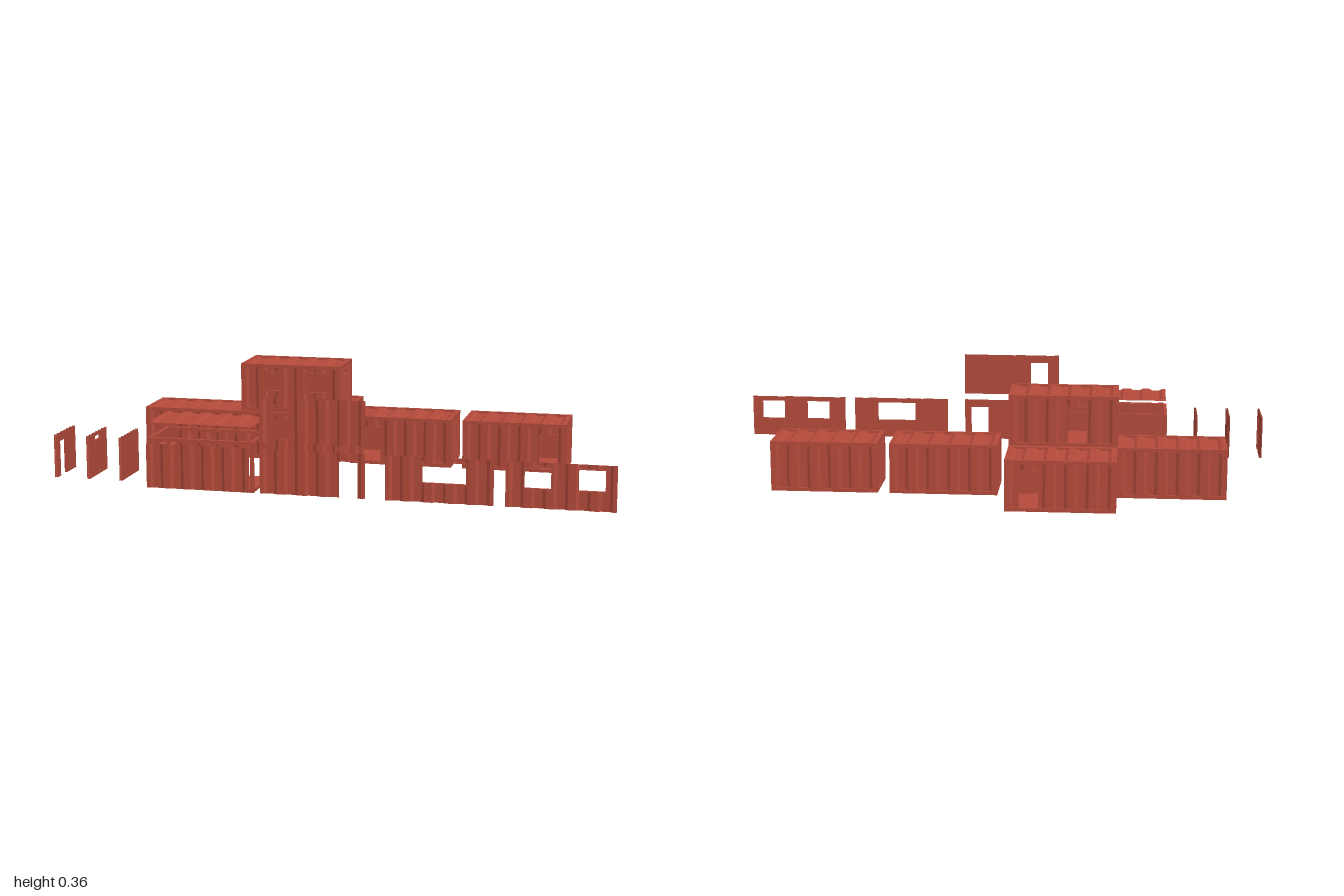
import * as THREE from 'three';

const L = 0.382, W = 0.203, H = 0.18, BEAM = 0.012;
const PL = 0.37, PE = 0.181, PH = 0.156; // long panel, end panel, panel height

// openings as [u0, u1, v0, v1] measured from a panel's lower left corner
const DOOR_LEFT = [0.04, 0.113, 0, 0.13];
const DOOR_RIGHT = [0.275, 0.348, 0, 0.13];
const DOOR_MID = [0.1, 0.17, 0, 0.13];
const DOOR_END = [0.086, 0.148, 0, 0.13];
const SLIT = [0.056, 0.119, 0.125, 0.147];
const WIDE = [0.125, 0.28, 0.065, 0.142];
const PAIR = [[0.06, 0.155, 0.065, 0.142], [0.24, 0.335, 0.065, 0.142]];

export function createModel() {
  const steel = new THREE.MeshStandardMaterial({ color: 0xb54b3b, side: THREE.DoubleSide });
  steel.name = 'redSteel';
  steel.flatShading = true;
  const model = new THREE.Group();

  function box(parent, name, w, h, d, x, y, z) {
    const m = new THREE.Mesh(new THREE.BoxGeometry(w, h, d), steel);
    m.name = name;
    m.position.set(x, y, z);
    parent.add(m);
  }

  // ribbed sheet with a flat lining; ribs run along v, outside faces local +z
  function sheetGeometry(w, h, ribs, holes) {
    const p = w / ribs, slant = p * 0.14, hi = 0.004, lo = -0.002, back = -0.004;
    const profile = [[0, hi]];
    for (let i = 0; i < ribs; i++) {
      const a = (i + 0.25) * p, b = (i + 0.75) * p;
      profile.push([a - slant / 2, hi], [a + slant / 2, lo], [b - slant / 2, lo], [b + slant / 2, hi]);
    }
    profile.push([w, hi]);
    const depth = (u) => {
      const i = Math.max(1, profile.findIndex((q) => q[0] >= u - 1e-7));
      const [a, da] = profile[i - 1], [b, db] = profile[i];
      return da + (db - da) * Math.min(1, (u - a) / (b - a));
    };
    const sorted = (list) => [...new Set(list)].sort((a, b) => a - b);
    const us = sorted([...profile.map((q) => q[0]), ...holes.flatMap((q) => [q[0], q[1]])]);
    const vs = sorted([0, h, ...holes.flatMap((q) => [q[2], q[3]])]);
    const pos = [];
    const quad = (a, b, c, d) => pos.push(...a, ...b, ...c, ...a, ...c, ...d);
    for (let i = 0; i + 1 < us.length; i++) {
      for (let j = 0; j + 1 < vs.length; j++) {
        const [u0, u1] = [us[i], us[i + 1]], [v0, v1] = [vs[j], vs[j + 1]];
        const um = (u0 + u1) / 2, vm = (v0 + v1) / 2;
        if (holes.some((q) => um > q[0] && um < q[1] && vm > q[2] && vm < q[3])) continue;
        const [x0, x1, y0, y1] = [u0 - w / 2, u1 - w / 2, v0 - h / 2, v1 - h / 2];
        const d0 = depth(u0), d1 = depth(u1);
        quad([x0, y0, d0], [x1, y0, d1], [x1, y1, d1], [x0, y1, d0]);
        quad([x1, y0, back], [x0, y0, back], [x0, y1, back], [x1, y1, back]);
      }
    }
    const g = new THREE.BufferGeometry();
    g.setAttribute('position', new THREE.Float32BufferAttribute(pos, 3));
    g.computeVertexNormals();
    return g;
  }

  function panel(parent, name, w, h, ribs, holes, x, y, z, turn = 0) {
    const g = new THREE.Group();
    g.name = name;
    const sheet = new THREE.Mesh(sheetGeometry(w, h, ribs, holes), steel);
    sheet.name = 'ribbedSheet';
    g.add(sheet);
    // lining of each opening
    const t = 0.003, d = 0.009;
    for (const [u0, u1, v0, v1] of holes) {
      const cx = (u0 + u1 - w) / 2, cy = (v0 + v1 - h) / 2;
      for (const s of [-1, 1]) {
        box(g, 'jamb', t, v1 - v0, d, cx + s * (u1 - u0 - t) / 2, cy, 0);
        if (s > 0 || v0 > 0) box(g, 'lintel', u1 - u0, t, d, cx, cy + s * (v1 - v0 - t) / 2, 0);
      }
    }
    g.position.set(x, y, z);
    g.rotation.y = turn;
    parent.add(g);
    return g;
  }

  function roof(parent, y) {
    panel(parent, 'roof', PL, PE, 5, [], 0, y, 0).rotation.x = -Math.PI / 2;
  }

  // floor, corner posts and rails
  function frame(name, x, y, z) {
    const g = new THREE.Group();
    g.name = name;
    g.position.set(x, y, z);
    box(g, 'floor', L, BEAM, W, 0, BEAM / 2, 0);
    for (const s of [-1, 1]) {
      box(g, 'longRail', L, BEAM, BEAM, 0, H - BEAM / 2, s * (W - BEAM) / 2);
      box(g, 'endRail', BEAM, BEAM, W, s * (L - BEAM) / 2, H - BEAM / 2, 0);
      for (const t of [-1, 1]) {
        box(g, 'cornerPost', BEAM, H, BEAM, s * (L - BEAM) / 2, H / 2, t * (W - BEAM) / 2);
      }
    }
    model.add(g);
    return g;
  }

  function container(name, x, y, z, { front = [], back = [], left = [], right = [] }) {
    const g = frame(name, x, y, z);
    const cy = H / 2, dz = W / 2 - 0.006, dx = L / 2 - 0.006;
    panel(g, 'frontWall', PL, PH, 5, front, 0, cy, dz);
    panel(g, 'backWall', PL, PH, 5, back, 0, cy, -dz, Math.PI);
    panel(g, 'endWallPlusX', PE, PH, 6, left, dx, cy, 0, Math.PI / 2);
    panel(g, 'endWallMinusX', PE, PH, 6, right, -dx, cy, 0, -Math.PI / 2);
    roof(g, H - 0.006);
  }

  // assembled building
  const z1 = -0.199, z2 = -0.402;
  container('westModule', -0.652, 0, z1, { front: [DOOR_LEFT] });
  container('middleModule', -0.27, 0, z1, { front: [WIDE] });
  container('upperModule', -0.27, H + 0.002, z1,
    { front: PAIR, back: [[0.2, 0.27, 0, 0.13]], left: [SLIT], right: [DOOR_END] });
  container('rearModule', -0.27, 0, z2, { back: [DOOR_LEFT], right: [SLIT] });
  container('eastModule', 0.151, 0, z1, { front: [DOOR_LEFT] });
  container('farEastModule', 0.576, 0, z1, { front: [DOOR_RIGHT] });

  // open frame with its roof lifted off
  const open = frame('openFrame', -0.45, 0, 0.344);
  roof(open, 0.235);

  // loose long panels
  const py = 0.014 + PH / 2, pz = 0.499;
  panel(model, 'plainPanel', PL, PH, 5, [], -0.445, py, pz);
  panel(model, 'rightDoorPanel', PL, PH, 5, [DOOR_RIGHT], -0.035, py, pz);
  panel(model, 'leftDoorPanel', PL, PH, 5, [DOOR_LEFT], -0.035, py + 0.181, pz);
  panel(model, 'wideWindowPanel', PL, PH, 5, [WIDE], 0.405, py, pz);
  panel(model, 'twoWindowPanel', PL, PH, 5, PAIR, 0.815, py, pz);

  // loose end panels
  [[DOOR_END], [SLIT], []].forEach((holes, i) => {
    panel(model, 'endPanel' + (i + 1), PE, PH, 6, holes, -0.996 + i * 0.122, py, 0.344, -Math.PI / 2);
  });
  return model;
}
